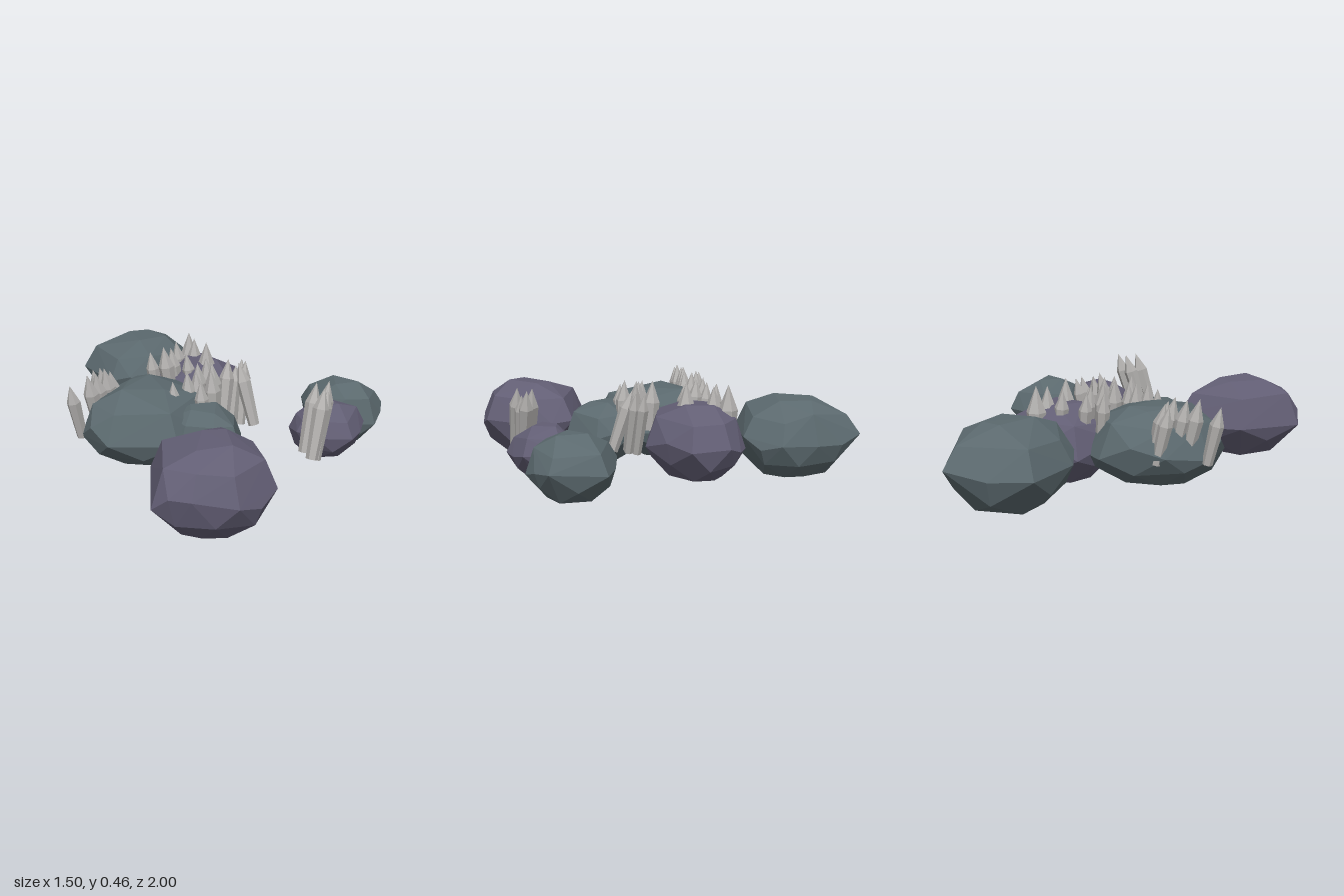
import * as THREE from 'three';
import { ConvexGeometry } from 'three/addons/geometries/ConvexGeometry.js';

const flat = (name, color) => {
  const m = new THREE.MeshStandardMaterial({ color, flatShading: true });
  m.name = name;
  return m;
};

// Small repeatable noise in -1..1
const noise = (n) => {
  const s = Math.sin(n * 127.1) * 43758.5453;
  return (s - Math.floor(s)) * 2 - 1;
};

// Rock: rings made from a plan outline, wrapped in a hull.
// A ring sits on the corners (shift 0) or between them (shift 0.5).
function rockGeometry(outline, bottom, top, seed) {
  const corners = outline.map(([x, z]) => new THREE.Vector3(x, 0, z));
  const n = corners.length;
  const centre = new THREE.Vector3();
  corners.forEach((c) => centre.addScaledVector(c, 1 / n));
  const points = [];
  // [height fraction, scale, shift, step, height wobble]
  const rings = [
    [0, 0.54, 0, 1, 0], [0.2, 0.92, 0.5, 1, 0.05], [0.47, 1, 0, 1, 0.1],
    [0.5, 1.06, 0.5, 2, 0.12], [0.8, 0.8, 0, 1, 0.06], [0.98, 0.42, 0.5, 2, 0.02],
  ];
  rings.forEach(([f, scale, shift, step, wobble], r) => {
    for (let i = 0; i < n; i += step) {
      const k = noise(seed * 31 + r * 13 + i);
      const p = corners[i].clone().lerp(corners[(i + 1) % n], shift);
      p.sub(centre).multiplyScalar(scale).add(centre);
      p.y = bottom + (top - bottom) * Math.min(1, f + wobble * k);
      points.push(p);
    }
  });
  return new ConvexGeometry(points);
}

// Crystal: six-sided shaft that widens to a shoulder and ends in a point
const up = new THREE.Vector3(0, 1, 0);
function crystal(material, tip, lean, r) {
  const len = lean.length();
  const profile = [[0, 0], [r * 0.75, 0], [r, len - r * 2.6], [0, len]];
  const mesh = new THREE.Mesh(
    new THREE.LatheGeometry(profile.map((p) => new THREE.Vector2(...p)), 6), material);
  mesh.position.copy(tip).sub(lean);
  mesh.quaternion.setFromUnitVectors(up, lean.clone().normalize());
  mesh.name = 'crystal';
  return mesh;
}

export function createModel() {
  const purple = flat('purple stone', 0x625e74);
  const green = flat('green grey stone', 0x5b696e);
  const grey = flat('crystal grey', 0xb2b0ae);
  const model = new THREE.Group();
  model.name = 'crystalRocks';

  // Rocks: name, material, bottom, top, outline corners in x and z
  const rocks = [
    ['backRock', green, 0.01, 0.38, [[-0.11, -1], [0.06, -0.81], [0.12, -0.65], [0.05, -0.46],
      [-0.21, -0.39], [-0.38, -0.53], [-0.44, -0.81]]],
    ['centreRock', purple, 0, 0.36, [[0.03, -0.47], [0.18, -0.42], [0.25, -0.25], [0.1, 0],
      [-0.12, 0.03], [-0.26, -0.13], [-0.24, -0.36]]],
    ['rightRock', green, 0.02, 0.36, [[-0.32, -0.31], [-0.58, -0.17], [-0.69, 0], [-0.63, 0.2],
      [-0.36, 0.37], [-0.08, 0.13], [-0.1, -0.2]]],
    ['middleRock', green, 0.02, 0.31, [[-0.37, 0.2], [-0.34, 0.34], [-0.22, 0.45], [-0.1, 0.455],
      [-0.01, 0.27], [-0.05, 0.12], [-0.25, 0.08]]],
    ['frontRock', purple, 0, 0.375, [[-0.18, 0.44], [-0.53, 0.48], [-0.65, 0.81], [-0.53, 0.93],
      [-0.36, 0.995], [-0.15, 0.9], [-0.1, 0.66]]],
    ['smallRock', purple, 0.06, 0.3, [[0.36, 0.26], [0.2, 0.34], [0.18, 0.45], [0.23, 0.54],
      [0.39, 0.59], [0.53, 0.46], [0.47, 0.29]]],
    ['leftRock', green, 0.03, 0.315, [[0.42, 0.06], [0.65, 0.04], [0.755, 0.27], [0.62, 0.42],
      [0.47, 0.4], [0.35, 0.23]]],
  ];
  rocks.forEach(([name, material, bottom, top, outline], i) => {
    const mesh = new THREE.Mesh(rockGeometry(outline, bottom, top, i + 1), material);
    mesh.name = name;
    model.add(mesh);
  });

  // Crystal clusters: name, mean tip height, radius, lean from base to tip, tips in x and z
  const clusters = [
    ['rightCrystals', 0.41, 0.034, [-0.05, 0.26, 0.02], [[-0.735, 0.01], [-0.645, -0.02], [-0.6, -0.05],
      [-0.55, -0.07], [-0.52, -0.08], [-0.55, -0.14], [-0.58, -0.15]]],
    ['leftFrontCrystals', 0.425, 0.033, [0.08, 0.3, -0.05], [[0.235, 0.585], [0.3, 0.515], [0.24, 0.51],
      [0.275, 0.55]]],
    ['centreCrystals', 0.43, 0.034, [0.05, 0.3, -0.05], [[0.12, 0.04], [0.06, 0.06], [0.12, 0],
      [0.02, 0.06]]],
    ['leaningCrystal', 0.42, 0.036, [-0.04, 0.29, -0.09], [[0.07, 0.07]]],
    ['middleCrystals', 0.42, 0.037, [-0.015, 0.24, -0.01], [[-0.29, 0.13], [-0.155, 0.08], [-0.11, 0.15],
      [-0.18, 0.19], [-0.12, 0.015], [-0.07, 0], [-0.07, 0.07], [-0.2, 0.08]]],
    ['backRightCrystals', 0.435, 0.034, [-0.03, 0.24, -0.01], [[-0.27, -0.22], [-0.22, -0.17],
      [-0.19, -0.25], [-0.17, -0.2], [-0.1, -0.31], [-0.11, -0.15]]],
    ['backCrystals', 0.44, 0.045, [0, 0.25, 0], [[0, -0.38], [0.01, -0.18], [0, -0.31]]],
  ];
  clusters.forEach(([name, height, radius, lean, tips], c) => {
    const group = new THREE.Group();
    group.name = name;
    tips.forEach(([x, z], i) => {
      const k = noise(c * 17 + i + 1);
      const tip = new THREE.Vector3(x, height + 0.028 * k, z);
      group.add(crystal(grey, tip, new THREE.Vector3(...lean), radius * (1 + 0.15 * k)));
    });
    model.add(group);
  });
  return model;
}
